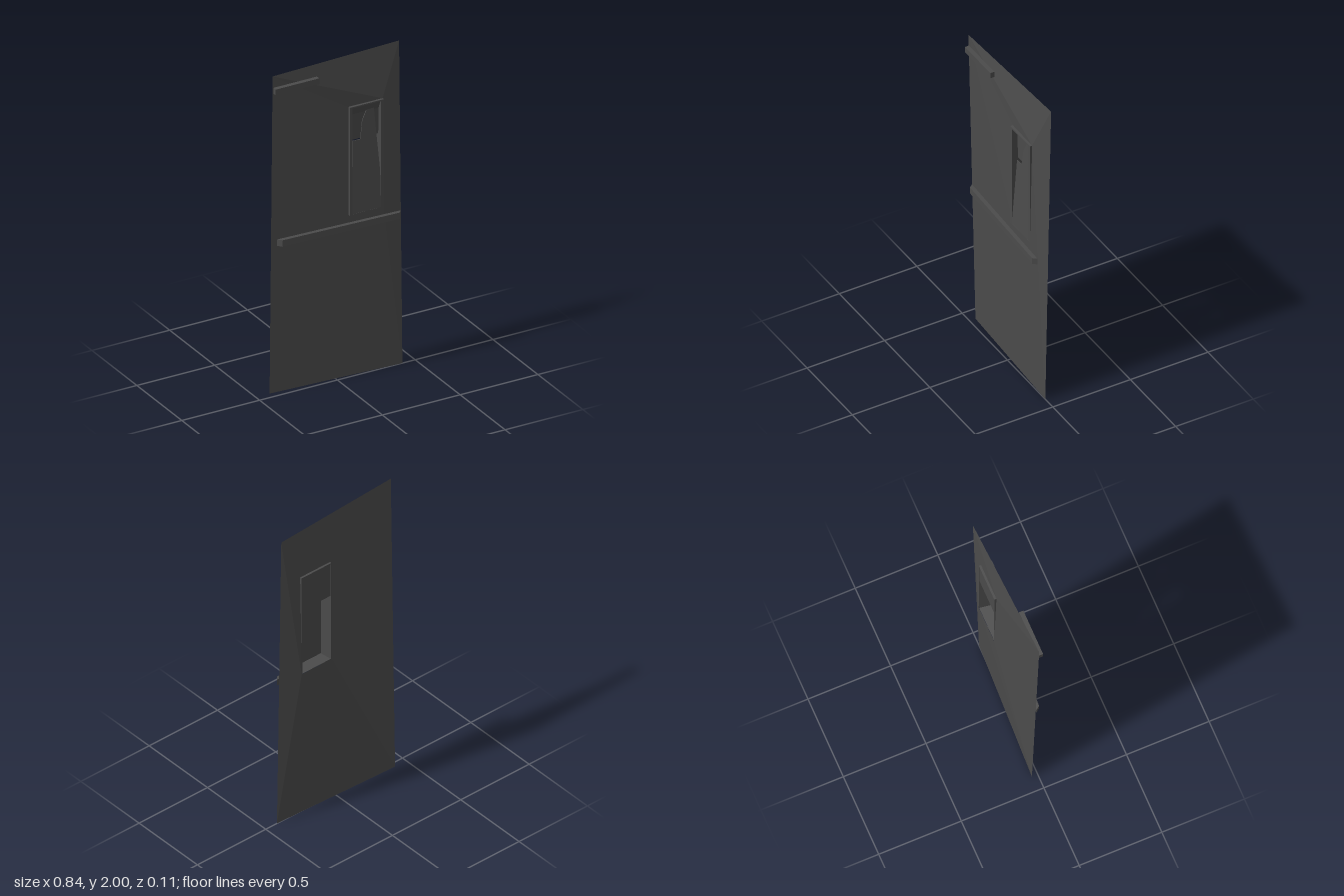
import * as THREE from 'three';

export function createModel() {
  const group = new THREE.Group();
  group.name = 'door';
  const grey = new THREE.MeshStandardMaterial({ color: 0x4b4b4b });
  grey.name = 'dark grey';

  const add = (name, geometry) => {
    const flat = geometry.index ? geometry.toNonIndexed() : geometry;
    flat.computeVertexNormals();
    const mesh = new THREE.Mesh(flat, grey);
    mesh.name = name;
    group.add(mesh);
    return mesh;
  };

  // Skins four-cornered rings together; side quads fold the other way from top and bottom ones
  const skin = (rings, closed) => {
    const pos = [];
    const count = closed ? rings.length : rings.length - 1;
    for (let r = 0; r < count; r++) {
      const a = rings[r], b = rings[(r + 1) % rings.length];
      for (let i = 0; i < 4; i++) {
        const j = (i + 1) % 4;
        if (i % 2) pos.push(...a[i], ...b[i], ...a[j], ...b[i], ...b[j], ...a[j]);
        else pos.push(...a[i], ...b[i], ...b[j], ...a[i], ...b[j], ...a[j]);
      }
    }
    const g = new THREE.BufferGeometry();
    g.setAttribute('position', new THREE.Float32BufferAttribute(pos, 3));
    return g;
  };

  // Rectangular ring, corners from bottom left anticlockwise, with a depth for each corner
  const ring = (x0, x1, y0, y1, z) => [[x0, y0, z[0]], [x1, y0, z[1]], [x1, y1, z[2]], [x0, y1, z[3]]];
  const level = (z) => [z, z, z, z];

  // Slab with knife edges whose corners lie alternately forward and back
  const rim = (z) => ring(0.068, 0.286, 1.015, 1.688, z);
  const edge = [[-0.415, 0.004, -0.036], [0.418, 0, 0], [0.418, 1.995, -0.037], [-0.42, 2, 0.006]];
  add('slab', skin([rim([0.008, 0.022, 0.008, 0.006]), edge, rim([-0.058, -0.058, -0.044, -0.044])], false));

  // Window frame, its opening narrowing towards the front
  add('windowFrame', skin([
    ring(0.085, 0.268, 1.02, 1.68, level(0.022)),
    rim(level(0.022)),
    rim(level(-0.057)),
    ring(0.073, 0.281, 1.017, 1.68, level(-0.057)),
  ], true));

  // Closed upper part of the opening, bevelled at the top front
  const profile = new THREE.Shape([
    [0.056, 1.687], [0.056, 1.46], [0.022, 1.46], [0.018, 1.62], [-0.02, 1.687],
  ].map(([x, y]) => new THREE.Vector2(x, y)).reverse());
  const lintel = add('windowLintel', new THREE.ExtrudeGeometry(profile, { depth: 0.212, bevelEnabled: false }));
  lintel.rotation.y = Math.PI / 2;
  lintel.position.x = 0.071;

  // Narrowing pane, leaning back, that leaves slits at both sides
  const outline = [
    [0.083, 0], [0.275, 0], [0.268, 0.245], [0.253, 0.445], [0.24, 0.625],
    [0.2, 0.625], [0.165, 0.555], [0.15, 0.445], [0.102, 0.445],
  ].map(([x, y]) => new THREE.Vector2(x, y));
  const pane = add('windowPane', new THREE.ExtrudeGeometry(new THREE.Shape(outline), { depth: 0.005, bevelEnabled: false }));
  pane.position.set(0, 1.018, 0.016);
  pane.rotation.x = -0.052;

  // Push bar standing out further at one end, with slanted ends
  const bar = new THREE.BoxGeometry(0.776, 0.04, 0.024);
  const p = bar.attributes.position;
  for (let i = 0; i < p.count; i++) {
    const x = p.getX(i) * (p.getZ(i) > 0 ? 0.95 : 1);
    p.setX(i, x);
    p.setZ(i, p.getZ(i) + 0.03 + x * 0.04);
  }
  add('pushBar', bar).position.y = 0.955;

  // Door closer near the top edge
  add('doorCloser', new THREE.BoxGeometry(0.28, 0.036, 0.026)).position.set(-0.275, 1.91, 0.019);

  return group;
}
